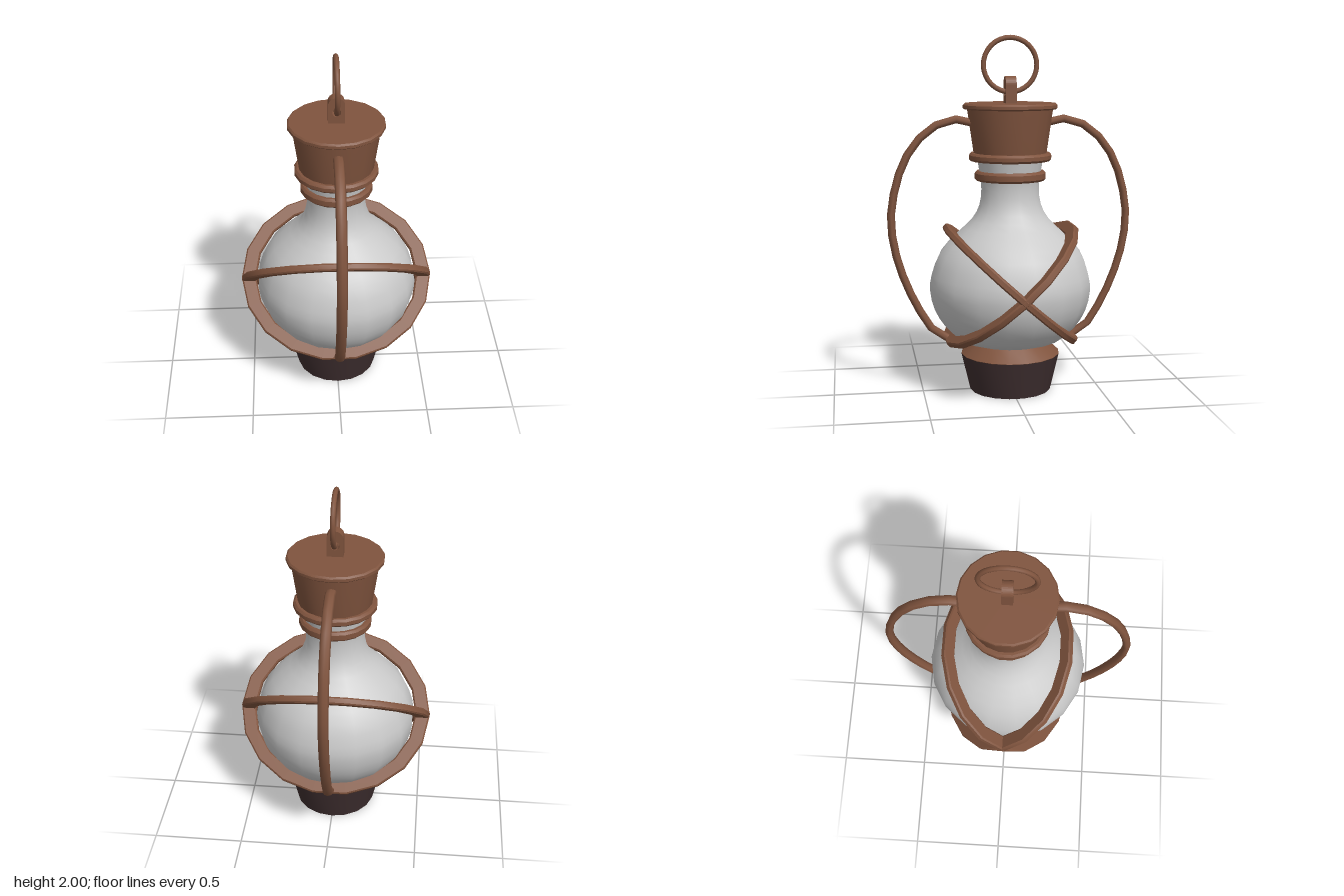
import * as THREE from 'three';
import { toCreasedNormals } from 'three/addons/utils/BufferGeometryUtils.js';

const SIDES = 18;

export function createModel() {
  const model = new THREE.Group();
  model.name = 'lantern';

  const copper = new THREE.MeshStandardMaterial({ color: 0x80543e });
  copper.name = 'copper';
  const darkMetal = new THREE.MeshStandardMaterial({ color: 0x3e2e2f, side: THREE.DoubleSide });
  darkMetal.name = 'darkMetal';
  const frostedGlass = new THREE.MeshStandardMaterial({ color: 0xcacaca, side: THREE.DoubleSide });
  frostedGlass.name = 'frostedGlass';

  const add = (name, geometry, material) => {
    const mesh = new THREE.Mesh(geometry, material);
    mesh.name = name;
    model.add(mesh);
    return mesh;
  };
  const lathe = (points, start = 0, crease = 0.6) => toCreasedNormals(
    new THREE.LatheGeometry(points.map(([r, y]) => new THREE.Vector2(r, y)), SIDES, start), crease);

  // Closed, bevelled rectangular band, ordered so that it faces outwards
  const bandProfile = (r0, r1, y0, y1, b) => [
    [r0 + b, y0], [r1 - b, y0], [r1, y0 + b], [r1, y1 - b],
    [r1 - b, y1], [r0 + b, y1], [r0, y1 - b], [r0, y0 + b], [r0 + b, y0],
  ];

  // Hollow foot with a copper collar closing it above
  add('foot', lathe([[0.23, 0], [0.28, 0.21]]), darkMetal);
  add('collar', lathe([[0, 0.203], [0.275, 0.203], [0.28, 0.212], [0.2, 0.285], [0, 0.285]], 0, 0.3), copper);

  // Glass bulb and neck
  const bulb = new THREE.SplineCurve([
    [0.2, 0.275], [0.29, 0.3], [0.37, 0.37], [0.43, 0.47], [0.455, 0.58], [0.446, 0.67],
    [0.4, 0.79], [0.31, 0.89], [0.22, 0.975], [0.175, 1.06], [0.163, 1.15], [0.17, 1.23], [0.19, 1.34],
  ].map(([r, y]) => new THREE.Vector2(r, y)));
  add('glassBulb', new THREE.LatheGeometry(bulb.getPoints(24), SIDES), frostedGlass);

  // Neck ring, cap and its rims
  add('neckRing', lathe(bandProfile(0.15, 0.2, 1.198, 1.252, 0.012)), copper);
  add('capLowerRim', lathe(bandProfile(0.17, 0.232, 1.308, 1.353, 0.012)), copper);
  add('cap', lathe([[0, 1.325], [0.2, 1.325], [0.205, 1.35], [0.242, 1.605], [0, 1.605]]), copper);
  add('capTopRim', lathe([[0, 1.594], [0.255, 1.594], [0.265, 1.602], [0.265, 1.618], [0.256, 1.627], [0, 1.627]]), copper);

  // Arched lug with a hole for the hanging loop
  const lugShape = new THREE.Shape();
  lugShape.moveTo(-0.045, 1.615);
  lugShape.lineTo(0.045, 1.615);
  lugShape.lineTo(0.045, 1.73);
  lugShape.absarc(0, 1.73, 0.045, 0, Math.PI, false);
  lugShape.closePath();
  const hole = new THREE.Path();
  hole.absarc(0, 1.69, 0.024, 0, Math.PI * 2, true);
  lugShape.holes.push(hole);
  const lug = new THREE.ExtrudeGeometry(lugShape, { depth: 0.06, bevelEnabled: false, curveSegments: 8 });
  lug.translate(0, 0, -0.03);
  add('hangingLug', lug, copper);

  const loop = add('hangingLoop', new THREE.TorusGeometry(0.149, 0.014, 8, 32), copper);
  loop.rotation.y = Math.PI / 2;
  loop.position.y = 1.837;

  // Two crossed oval guard rings around the bulb
  for (const side of [1, -1]) {
    const ring = add(side > 0 ? 'guardRingFrontDown' : 'guardRingBackDown',
      lathe(bandProfile(0.465, 0.548, -0.02, 0.02, 0.008), Math.PI / 2), copper);
    ring.scale.z = 0.905;
    ring.rotation.x = side * 0.73;
    ring.position.y = 0.61;
  }

  // Curved side wires from the cap down to the guard rings
  const wirePath = [
    [0.19, 1.515], [0.3, 1.54], [0.41, 1.51], [0.53, 1.41], [0.605, 1.28], [0.65, 1.13],
    [0.668, 0.98], [0.64, 0.78], [0.57, 0.58], [0.48, 0.41], [0.43, 0.345], [0.355, 0.302],
  ];
  for (const side of [1, -1]) {
    const curve = new THREE.CatmullRomCurve3(wirePath.map(([z, y]) => new THREE.Vector3(0, y, z * side)));
    const wire = add(side > 0 ? 'frontWire' : 'backWire',
      new THREE.TubeGeometry(curve, 14, 0.022, 8, false), copper);
    wire.scale.x = 1.3;
    // Small plug closing the lower end
    const plug = add(side > 0 ? 'frontWireEnd' : 'backWireEnd', new THREE.SphereGeometry(0.022, 8, 6), copper);
    plug.scale.x = 1.3;
    plug.position.set(0, 0.302, 0.355 * side);
  }

  return model;
}
